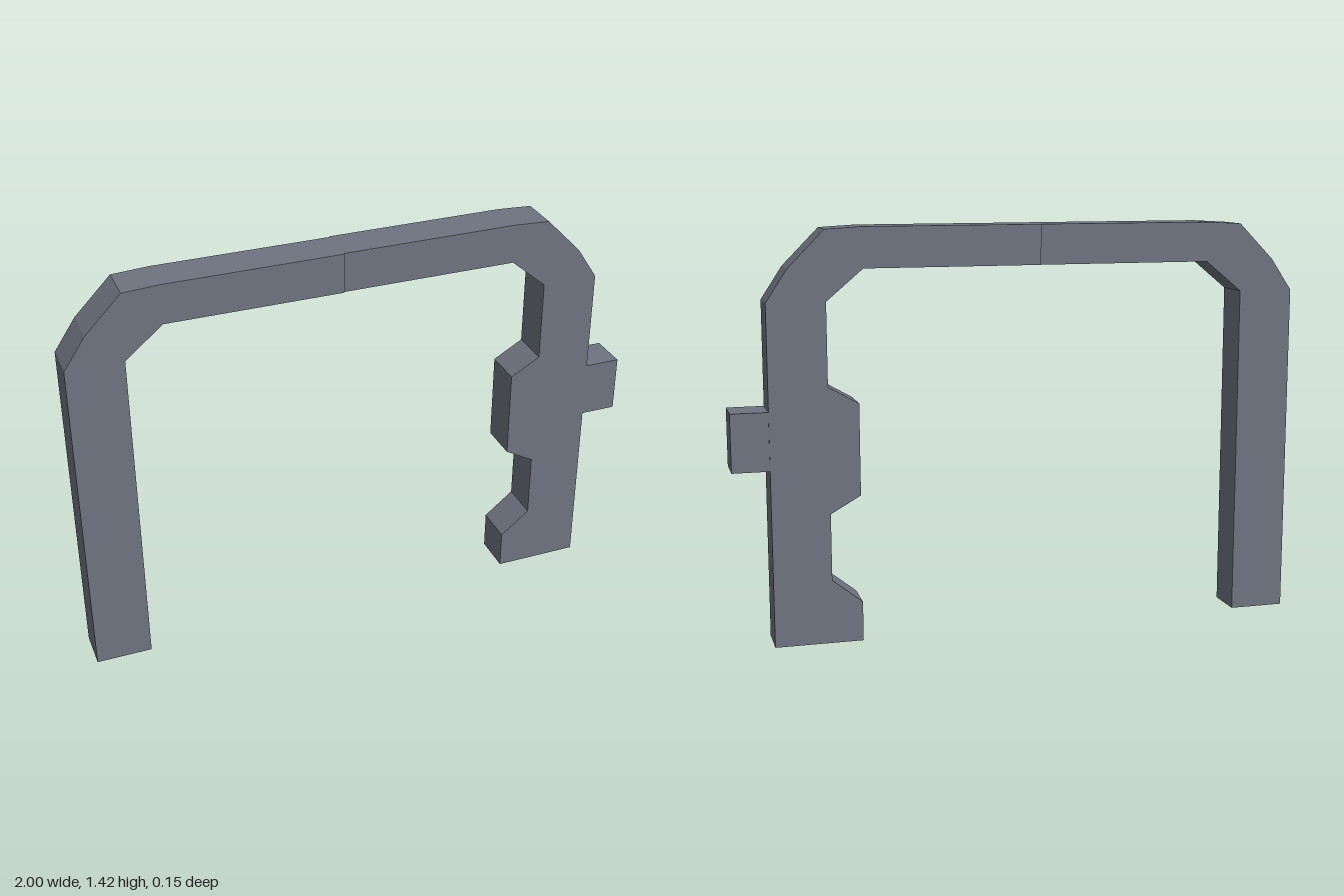
import * as THREE from 'three';

export function createModel() {
  const group = new THREE.Group();
  const slate = new THREE.MeshStandardMaterial({ color: 0x6e7480 });
  slate.name = 'slate grey';

  // Flat outline extruded between two depths
  function plate(name, points, back, front) {
    const shape = new THREE.Shape(points.map(([x, y]) => new THREE.Vector2(x, y)));
    const geometry = new THREE.ExtrudeGeometry(shape, { depth: front - back, bevelEnabled: false });
    const mesh = new THREE.Mesh(geometry, slate);
    mesh.name = name;
    mesh.position.z = back;
    group.add(mesh);
  }

  const seam = -0.065;

  // Plain leg with its chamfered corner and part of the crossbar
  plate('plainHalf', [
    [-1, 0], [-0.805, 0], [-0.805, 1.172], [-0.675, 1.279], [seam, 1.279],
    [seam, 1.417], [-0.675, 1.417], [-0.8, 1.41], [-0.925, 1.283], [-1, 1.172],
  ], -0.068, 0.073);

  // Latch leg with foot hook, grip pad and the rest of the crossbar, set slightly back
  plate('latchHalf', [
    [0.57, 0], [0.873, 0], [0.873, 1.172], [0.8, 1.283], [0.675, 1.41], [0.55, 1.417],
    [seam, 1.417], [seam, 1.279], [0.548, 1.279], [0.674, 1.172],
    [0.674, 0.888], [0.57, 0.828], [0.57, 0.512], [0.674, 0.453],
    [0.674, 0.222], [0.57, 0.138],
  ], -0.073, 0.068);

  // Square peg on the outside of the latch leg
  const peg = new THREE.Mesh(new THREE.BoxGeometry(0.127, 0.2, 0.137), slate);
  peg.name = 'sidePeg';
  peg.position.set(0.9365, 0.711, -0.0015);
  group.add(peg);

  return group;
}
